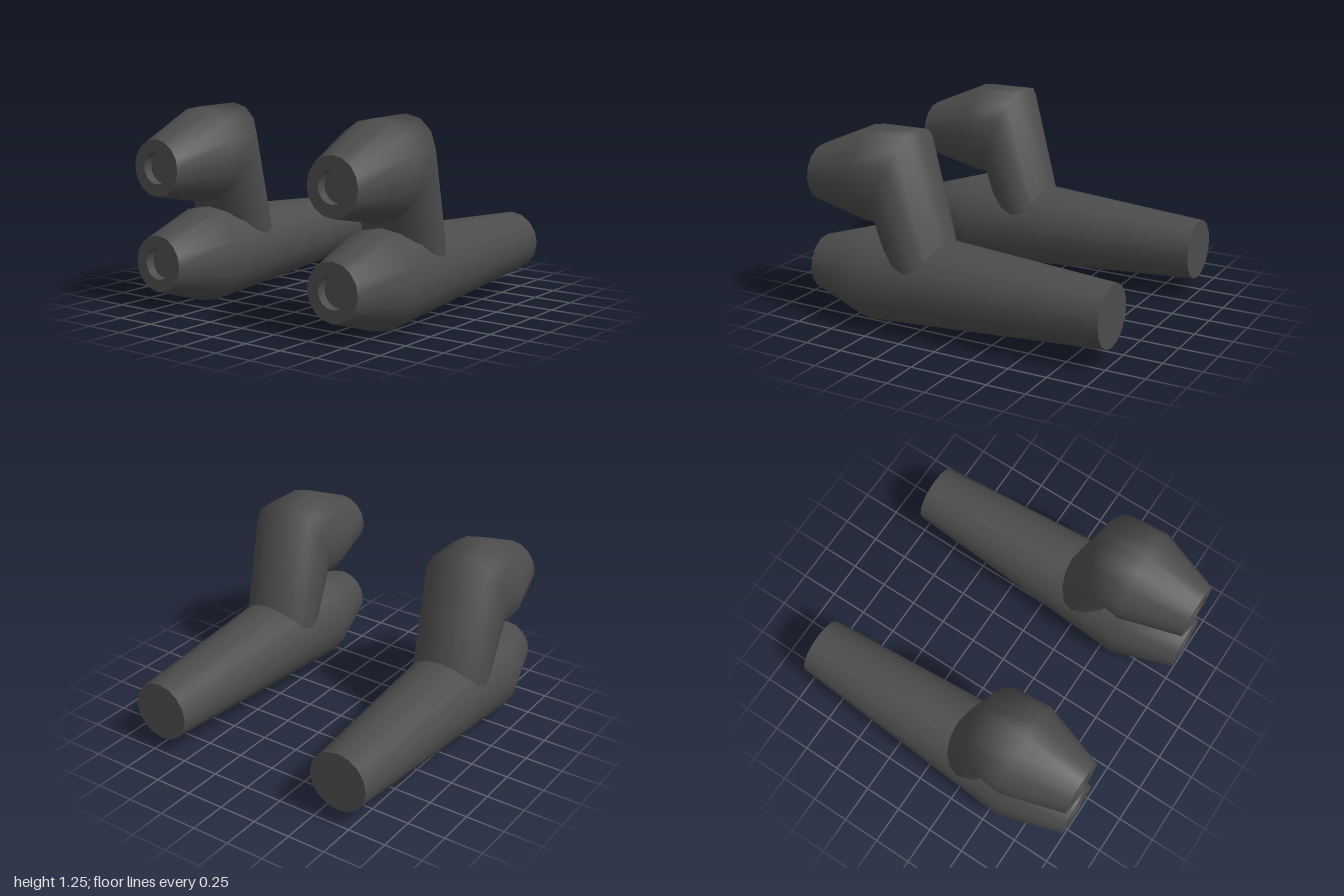
import * as THREE from 'three';

const SIDES = 16;

// Smooth skin through rings; each ring is [topX, topY, bottomX, bottomY, halfDepthZ]
function loft(rings) {
  const pos = [], idx = [];
  for (const [tx, ty, bx, by, d] of rings) {
    for (let s = 0; s < SIDES; s++) {
      const a = (s / SIDES) * Math.PI * 2, c = Math.cos(a);
      pos.push((tx + bx) / 2 + ((tx - bx) / 2) * c, (ty + by) / 2 + ((ty - by) / 2) * c, d * Math.sin(a));
    }
  }
  for (let i = 0; i < rings.length - 1; i++) {
    for (let s = 0; s < SIDES; s++) {
      const n = (s + 1) % SIDES;
      const a = i * SIDES + s, b = i * SIDES + n, c = a + SIDES, e = b + SIDES;
      idx.push(a, b, c, b, e, c);
    }
  }
  const g = new THREE.BufferGeometry();
  g.setAttribute('position', new THREE.Float32BufferAttribute(pos, 3));
  g.setIndex(idx);
  g.computeVertexNormals();
  return g;
}

// Upright circular ring around the x direction
const ring = (x, y, r) => [x, y + r, x, y - r, r];

export function createModel() {
  const model = new THREE.Group();
  model.name = 'twinPipes';
  const metal = new THREE.MeshStandardMaterial({ color: 0x4c4c4c });
  metal.name = 'darkGrey';

  const parts = [];
  const part = (name, geometry) => parts.push([name, geometry]);

  // Long tapered lower barrel with a flat far end
  part('lowerBarrel', loft([
    ring(-1, 0.308, 0.178), ring(-0.6, 0.308, 0.304), ring(1, 0.308, 0.195),
  ]));
  part('lowerEndCap', loft([ring(1, 0.308, 0.195), ring(1, 0.308, 0.0001)]));

  // Upper barrel bending down through a mitred elbow into the lower one
  part('upperElbow', loft([
    ring(-1, 0.902, 0.178),
    ring(-0.6, 0.948, 0.304),
    [-0.28, 1.257, -0.54, 0.645, 0.285],
    [-0.04, 0.355, -0.43, 0.31, 0.25],
  ]));

  // Mouth of each barrel: flat rim, short bore and bore floor
  for (const [name, y] of [['lower', 0.308], ['upper', 0.902]]) {
    part(name + 'Rim', loft([ring(-1, y, 0.1), ring(-1, y, 0.178)]));
    part(name + 'Bore', loft([ring(-0.94, y, 0.1), ring(-1, y, 0.1)]));
    part(name + 'BoreFloor', loft([ring(-0.94, y, 0.0001), ring(-0.94, y, 0.1)]));
  }

  // One assembly on each side
  for (const [side, z] of [['front', 0.672], ['back', -0.672]]) {
    const pipe = new THREE.Group();
    pipe.name = side + 'Pipe';
    pipe.position.z = z;
    for (const [name, geometry] of parts) {
      const mesh = new THREE.Mesh(geometry, metal);
      mesh.name = name;
      pipe.add(mesh);
    }
    model.add(pipe);
  }
  return model;
}
